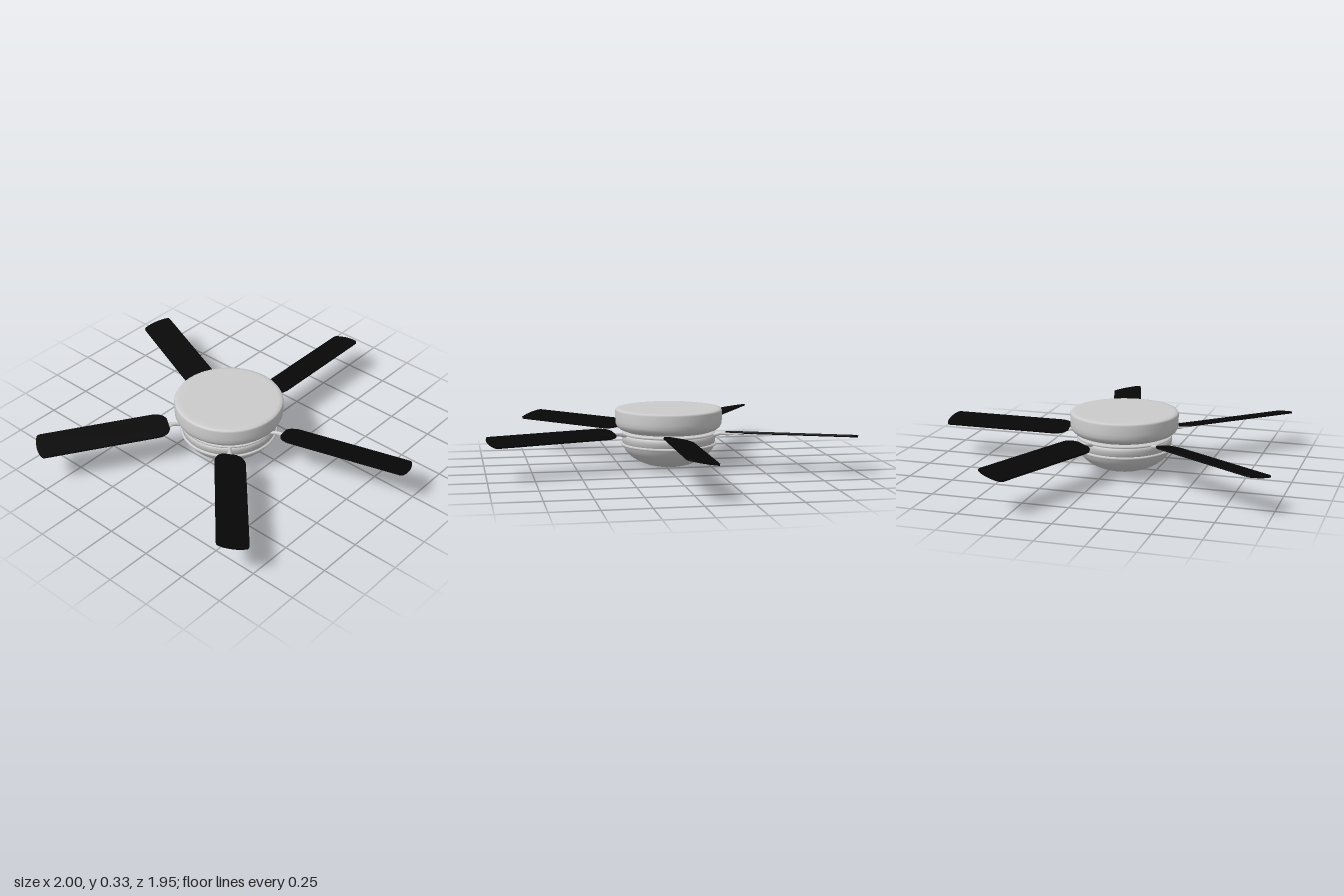
import * as THREE from 'three';

const grey = new THREE.MeshStandardMaterial({ color: 0xcccccc });
const black = new THREE.MeshStandardMaterial({ color: 0x070707 });

// Turned part from [radius, y] pairs, listed from bottom to top
function turned(name, pairs) {
  const pts = pairs.map(([r, y]) => new THREE.Vector2(r, y));
  const mesh = new THREE.Mesh(new THREE.LatheGeometry(pts, 64), grey);
  mesh.name = name;
  return mesh;
}

// Flat slab lying in xz, centred on its thickness
function slab(shape, thickness, material, name) {
  const geo = new THREE.ExtrudeGeometry(shape, { depth: thickness, bevelEnabled: false, curveSegments: 8 });
  geo.translate(0, 0, -thickness / 2).rotateX(-Math.PI / 2);
  const mesh = new THREE.Mesh(geo, material);
  mesh.name = name;
  return mesh;
}

// Blade outline: shouldered root on the left, softly bowed tip on the right
function bladeShape() {
  const s = new THREE.Shape();
  s.moveTo(-0.36, -0.035);
  s.quadraticCurveTo(-0.35, -0.065, -0.325, -0.074);
  s.quadraticCurveTo(-0.31, -0.083, -0.29, -0.083);
  s.lineTo(0.325, -0.083);
  s.quadraticCurveTo(0.348, -0.083, 0.35, -0.065);
  s.quadraticCurveTo(0.36, -0.045, 0.361, 0);
  s.quadraticCurveTo(0.36, 0.045, 0.35, 0.065);
  s.quadraticCurveTo(0.348, 0.083, 0.325, 0.083);
  s.lineTo(-0.29, 0.083);
  s.quadraticCurveTo(-0.31, 0.083, -0.325, 0.074);
  s.quadraticCurveTo(-0.35, 0.065, -0.36, 0.035);
  s.closePath();
  return s;
}

// Mounting plate that widens from the arm to a rounded end
function plateShape() {
  const s = new THREE.Shape();
  s.moveTo(-0.39, -0.01);
  s.bezierCurveTo(-0.36, -0.01, -0.36, -0.035, -0.32, -0.035);
  s.bezierCurveTo(-0.24, -0.035, -0.24, 0.035, -0.32, 0.035);
  s.bezierCurveTo(-0.36, 0.035, -0.36, 0.01, -0.39, 0.01);
  s.closePath();
  return s;
}

function bladeAssembly(x, z, degrees) {
  const g = new THREE.Group();
  g.name = 'bladeAssembly';

  // Blade and plate share the pitch
  const pitched = new THREE.Group();
  pitched.name = 'pitchedBlade';
  const plate = slab(plateShape(), 0.008, grey, 'bladePlate');
  plate.position.y = -0.008;
  pitched.add(slab(bladeShape(), 0.009, black, 'blade'), plate);
  pitched.rotation.x = -0.19;

  // Arm reaching into the motor
  const path = new THREE.CatmullRomCurve3([
    new THREE.Vector3(-0.48, -0.022, 0),
    new THREE.Vector3(-0.43, -0.018, 0),
    new THREE.Vector3(-0.39, -0.008, 0),
    new THREE.Vector3(-0.34, -0.01, 0),
  ]);
  const arm = new THREE.Mesh(new THREE.TubeGeometry(path, 12, 0.01, 8), grey);
  arm.name = 'bladeArm';

  g.add(pitched, arm);
  g.position.set(x, 0.205, z);
  g.rotation.y = THREE.MathUtils.degToRad(degrees);
  return g;
}

export function createModel() {
  const fan = new THREE.Group();
  fan.name = 'ceilingFan';

  const body = new THREE.Group();
  body.name = 'body';
  body.position.set(-0.02, 0, 0.072);

  // Upper cup against the ceiling
  body.add(turned('housing', [
    [0, 0.2], [0.215, 0.2], [0.245, 0.205], [0.272, 0.216], [0.288, 0.23], [0.296, 0.248],
    [0.297, 0.27], [0.297, 0.318], [0.292, 0.327], [0.275, 0.33], [0.25, 0.33], [0, 0.33],
  ]));

  // Motor drum, with a lip at the top and a groove
  body.add(turned('motorDrum', [
    [0.245, 0.13], [0.258, 0.14], [0.261, 0.165], [0.261, 0.18], [0.254, 0.183],
    [0.254, 0.187], [0.261, 0.189], [0.258, 0.196], [0.235, 0.199], [0, 0.199],
  ]));

  // Thin flange holding the bowl
  body.add(turned('bowlFlange', [
    [0.25, 0.124], [0.264, 0.126], [0.268, 0.131], [0.264, 0.137], [0.25, 0.139],
  ]));

  // Light bowl
  const bowlCurve = new THREE.SplineCurve(
    [[0, 0], [0.06, 0.004], [0.13, 0.02], [0.195, 0.051], [0.238, 0.09], [0.258, 0.127]]
      .map(([r, y]) => new THREE.Vector2(r, y)));
  body.add(turned('lightBowl', bowlCurve.getPoints(24).map((p) => [Math.max(p.x, 0), Math.max(p.y, 0)])));
  fan.add(body);

  // Blade centres (x, z) and headings
  const blades = [
    [-0.005, -0.612, 90],
    [0.645, -0.11, 16.4],
    [0.455, 0.583, -47],
    [-0.412, 0.647, -122],
    [-0.652, -0.203, 158],
  ];
  for (const [x, z, a] of blades) fan.add(bladeAssembly(x, z, a));
  return fan;
}
